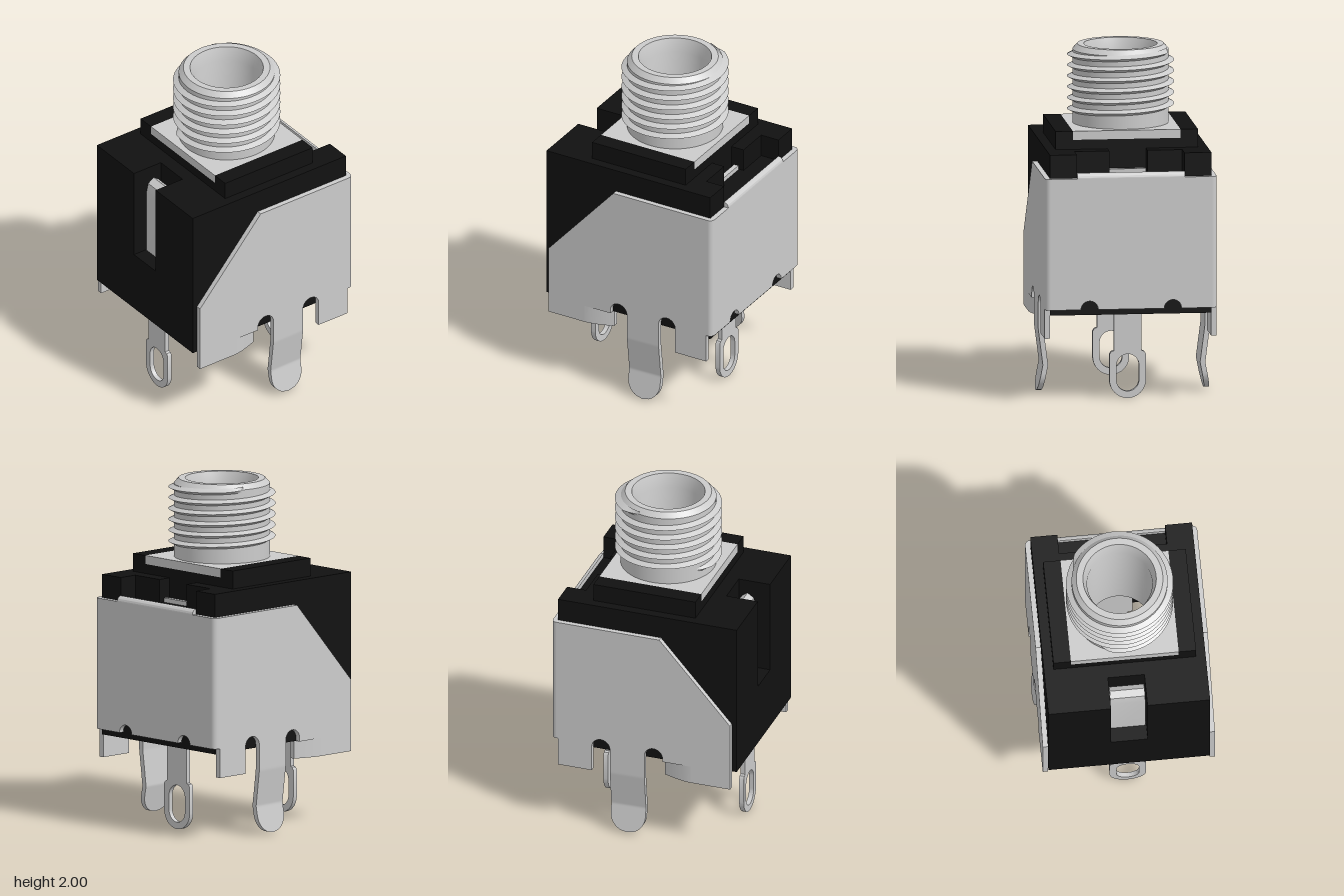
import * as THREE from 'three';
import { toCreasedNormals } from 'three/addons/utils/BufferGeometryUtils.js';

const metal = new THREE.MeshStandardMaterial({ color: 0xcccccc });
const thin = new THREE.MeshStandardMaterial({ color: 0xcccccc, side: THREE.DoubleSide });
const black = new THREE.MeshStandardMaterial({ color: 0x111111 });
const AXIS = 0.02; // x of the bushing axis

export function createModel() {
  const model = new THREE.Group();
  model.name = 'panelJack';

  const add = (name, geometry, material = metal) => {
    const mesh = new THREE.Mesh(geometry, material);
    mesh.name = name;
    model.add(mesh);
  };
  const polygon = (pts) => new THREE.Shape(pts.map((p) => new THREE.Vector2(...p)));
  const rect = (x0, x1, y0, y1) => polygon([[x0, y0], [x1, y0], [x1, y1], [x0, y1]]);
  const circle = (x, y, r) => new THREE.Path().absarc(x, y, r, 0, Math.PI * 2, true);
  const extrude = (shape, depth) => toCreasedNormals(
    new THREE.ExtrudeGeometry(shape, { depth, bevelEnabled: false, curveSegments: 20 }), 0.6);
  // horizontal slab from a plan outline
  const slab = (shape, holes, y0, y1) => {
    shape.holes.push(...holes);
    return extrude(shape, y1 - y0).rotateX(-Math.PI / 2).translate(0, y0, 0);
  };
  // upright sheet from a (z, y) outline
  const sheet = (shape, x0, x1) => extrude(shape, x1 - x0).rotateY(Math.PI / 2).translate(x0, 0, 0);
  const box = (x0, x1, y0, y1, z0, z1) => new THREE.BoxGeometry(x1 - x0, y1 - y0, z1 - z0)
    .translate((x0 + x1) / 2, (y0 + y1) / 2, (z0 + z1) / 2);

  // Housing: hollow, open below, stacked in layers
  const X0 = -0.56, X1 = 0.525, Z = 0.465, S = 0.105, SX = -0.37, CX = 0.41, CZ = 0.36;
  add('housingSkirt', slab(rect(X0, X1, -Z, Z), [rect(SX, CX, -CZ, CZ)], 0.51, 0.88), black);
  add('housingWalls', slab(polygon([
    [X0, -Z], [X1, -Z], [X1, Z], [X0, Z], [X0, S], [SX, S],
    [SX, CZ], [CX, CZ], [CX, -CZ], [SX, -CZ], [SX, -S], [X0, -S],
  ]), [], 0.88, 1.2), black);
  add('housingRoof', slab(polygon([
    [X0, -Z], [X1, -Z], [X1, Z], [X0, Z], [X0, S], [SX, S], [SX, -S], [X0, -S],
  ]), [circle(AXIS, 0, 0.2), rect(0.33, 0.38, -0.11, 0.11)], 1.2, 1.305), black);
  add('housingTop', slab(polygon([
    [X0, -Z], [X1, -Z], [X1, -0.31], [CX, -0.31], [CX, -0.11], [0.33, -0.11],
    [0.33, 0.11], [CX, 0.11], [CX, 0.31], [X1, 0.31], [X1, Z], [X0, Z],
    [X0, S], [SX, S], [SX, -S], [X0, -S],
  ]), [circle(AXIS, 0, 0.2)], 1.305, 1.44), black);
  add('housingStep', slab(rect(-0.29, 0.33, -0.41, 0.41), [circle(AXIS, 0, 0.2)], 1.44, 1.495), black);
  for (const s of [-1, 1])
    add('housingRidge', box(-0.29, 0.33, 1.495, 1.545, s * 0.36 - 0.05, s * 0.36 + 0.05), black);

  // Bushing with its square flange
  add('bushingFlange', slab(rect(-0.29, 0.33, -0.31, 0.31), [circle(AXIS, 0, 0.2)], 1.495, 1.545));
  const profile = [[0.187, 1.2], [0.21, 1.2], [0.21, 1.52], [0.275, 1.52], [0.275, 1.97], [0.248, 2],
    [0.21, 2], [0.187, 1.92], [0.187, 1.2]].map((p) => new THREE.Vector2(...p));
  add('bushing', toCreasedNormals(new THREE.LatheGeometry(profile, 72), 0.4).translate(AXIS, 0, 0));
  add('bushingThread', threadGeometry().translate(AXIS, 0, 0), thin);

  // Side shields, each with a lug, a curled flap and a bent mounting leg
  const shield = polygon([[-0.53, 0.405], [-0.53, 0.82], [-0.1, 1.305], [0.525, 1.305], [0.525, 0.545],
    [0.515, 0.545], [0.515, 0.375], [0.31, 0.375], [0.31, 0.53]]);
  shield.absarc(0.255, 0.53, 0.055, 0, Math.PI, false);
  shield.lineTo(0.2, 0.4).lineTo(-0.01, 0.4).lineTo(-0.01, 0.53);
  shield.absarc(-0.065, 0.53, 0.055, 0, Math.PI, false);
  shield.lineTo(-0.12, 0.51).lineTo(-0.29, 0.51).lineTo(-0.29, 0.405);

  for (const s of [-1, 1]) {
    add('sideShield', extrude(shield, 0.03).translate(0, 0, s * 0.48 - 0.015));
    add('mountingLeg', legGeometry(s));
    add('curledFlap', reshape(new THREE.BoxGeometry(0.17, 0.105, 0.03, 12, 1, 1), (v) => {
      const u = Math.max(0, v.x / 0.17 + 0.5);
      v.set(v.x - 0.205, v.y + 0.4575, v.z + s * (0.48 - 0.045 * u ** 1.6));
    }));
    // rounded fold between side and end shields
    add('shieldFold', new THREE.CylinderGeometry(0.03, 0.03, 0.76, 24).translate(0.525, 0.925, s * 0.465));
  }

  // End shield with two notches and a rolled lip
  const end = polygon([[-0.465, 0.545], [-0.465, 1.305], [0.465, 1.305], [0.465, 0.545]]);
  for (const z of [0.24, -0.24]) {
    end.lineTo(z + 0.05, 0.545);
    end.absarc(z, 0.545, 0.05, 0, Math.PI, false);
  }
  add('endShield', sheet(end, 0.525, 0.555));
  const lip = new THREE.Shape().moveTo(0.525, 1.305).lineTo(0.555, 1.305);
  lip.absarc(0.525, 1.305, 0.03, 0, Math.PI / 2, false);
  add('shieldLip', extrude(lip, 0.62).translate(0, 0, -0.31));

  // Solder terminals with eyelets
  for (const x of [-0.475, 0.35]) {
    const eyelet = polygon([[0.08, 0.55], [0.08, 0.275], [0.095, 0.27], [0.105, 0.255], [0.105, 0.105]]);
    eyelet.absarc(0, 0.105, 0.105, 0, -Math.PI, true);
    eyelet.lineTo(-0.105, 0.255).lineTo(-0.095, 0.27).lineTo(-0.08, 0.275).lineTo(-0.08, 0.55);
    const eye = new THREE.Path().absarc(0, 0.105, 0.065, Math.PI, Math.PI * 2, false);
    eye.absarc(0, 0.19, 0.065, 0, Math.PI, false);
    eyelet.holes.push(eye);
    add('solderTerminal', sheet(eyelet, x, x + 0.028));
  }
  add('sleeveContact', box(0.35, 0.378, 0.53, 1.33, -0.105, 0.105));

  // Spring contact folded over inside the slot, with its wide blade in the cavity
  const strip = (path, half) => {
    const t = 0.0125, left = [], right = [];
    path.forEach(([x, y], i) => {
      const a = path[Math.max(i - 1, 0)], b = path[Math.min(i + 1, path.length - 1)];
      const dx = b[0] - a[0], dy = b[1] - a[1], l = Math.hypot(dx, dy);
      left.push([x - dy / l * t, y + dx / l * t]);
      right.unshift([x + dy / l * t, y - dx / l * t]);
    });
    return extrude(polygon([...left, ...right]), half * 2).translate(0, 0, -half);
  };
  add('springContact', strip([[-0.4625, 0.53], [-0.4625, 1.28], [-0.452, 1.33], [-0.425, 1.35],
    [-0.4, 1.33], [-0.388, 1.28], [-0.36, 1.13], [-0.29, 1.02]], 0.1));
  add('springBlade', strip([[-0.3, 1.035], [-0.2, 0.86], [-0.08, 0.7], [-0.1, 0.6]], 0.2));

  return model;
}

// Move every vertex of a geometry by a rule
function reshape(geometry, rule) {
  const pos = geometry.attributes.position, v = new THREE.Vector3();
  for (let i = 0; i < pos.count; i++) {
    rule(v.fromBufferAttribute(pos, i));
    pos.setXYZ(i, v.x, v.y, v.z);
  }
  geometry.computeVertexNormals();
  return geometry;
}

// Mounting leg: kinked inward, with a round tip
function legGeometry(side) {
  const y0 = 0.01, y1 = 0.4, r = 0.105;
  return reshape(new THREE.BoxGeometry(1, 1, 0.03, 1, 48, 1), (v) => {
    const y = y0 + (v.y + 0.5) * (y1 - y0);
    const drop = Math.max(0, y0 + r - y);
    const half = Math.sqrt(Math.max(0, r * r - drop * drop));
    const bend = y > 0.38 ? 0 : y > 0.17 ? -0.027 * (0.38 - y) / 0.21 : -0.027 + 0.031 * (0.17 - y) / 0.16;
    v.set(0.095 + v.x * 2 * half, y, v.z + side * (0.48 + bend));
  });
}

// Right-handed V thread, two flanks swept along a helix, fading at the ends
function threadGeometry() {
  const steps = 420, a0 = -1.2 * Math.PI, a1 = 10.4 * Math.PI, pitch = 0.063;
  const pos = [], index = [];
  for (let i = 0; i <= steps; i++) {
    const a = a0 + (a1 - a0) * i / steps;
    const crest = 0.272 + 0.035 * Math.min(1, i / 4, (steps - i) / 4);
    const y = 1.64 + pitch * a / (2 * Math.PI);
    for (const [r, h] of [[0.272, -0.018], [crest, 0], [crest, 0], [0.272, 0.018]])
      pos.push(r * Math.cos(a), y + h, -r * Math.sin(a));
    if (i === steps) continue;
    for (const k of [0, 2]) {
      const p = i * 4 + k, q = p + 4;
      index.push(p, q, p + 1, q, q + 1, p + 1);
    }
  }
  const geometry = new THREE.BufferGeometry();
  geometry.setAttribute('position', new THREE.Float32BufferAttribute(pos, 3));
  geometry.setIndex(index);
  geometry.computeVertexNormals();
  return geometry;
}
